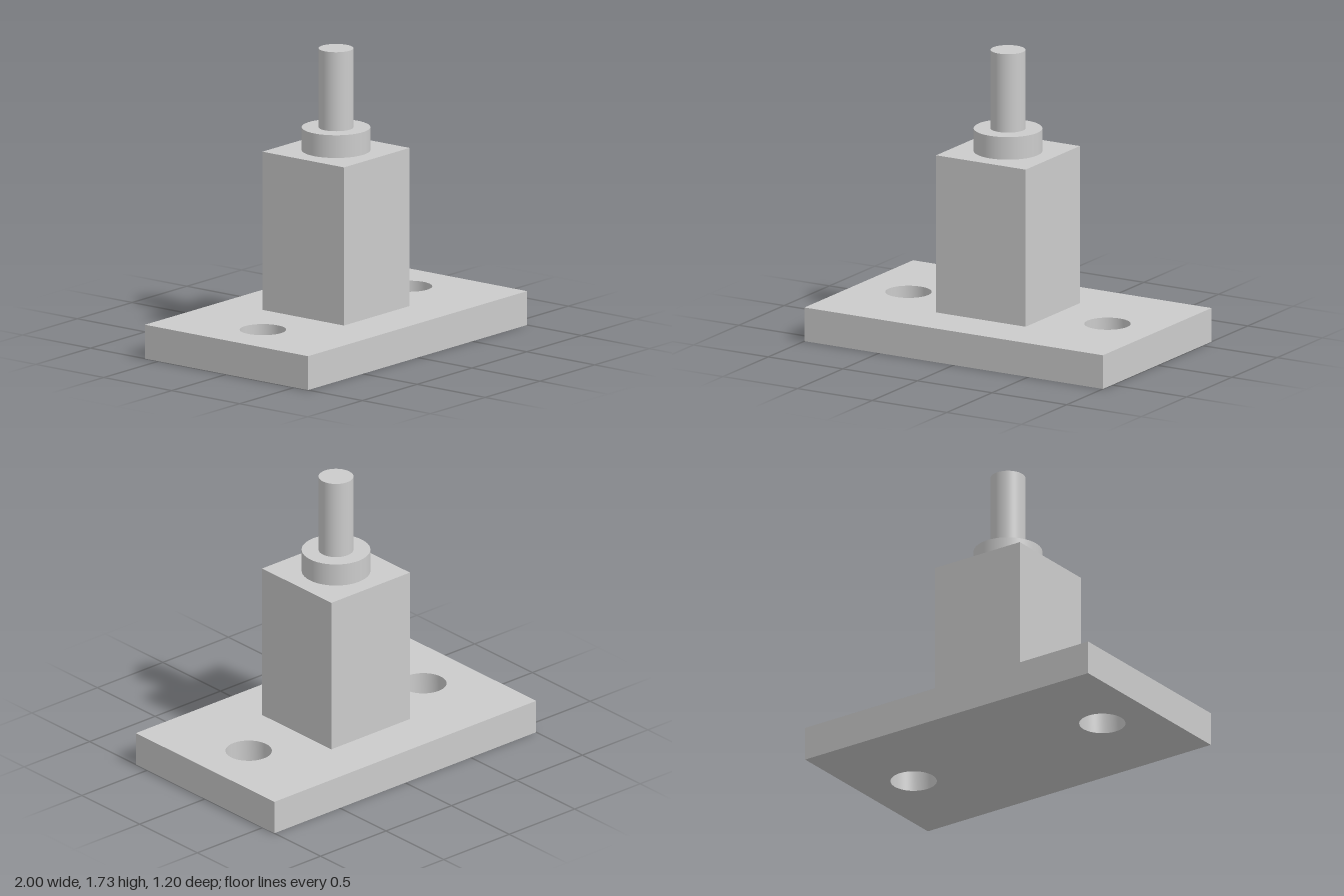
import * as THREE from 'three';
import { toCreasedNormals } from 'three/addons/utils/BufferGeometryUtils.js';

const PLATE_TOP = 0.2, BLOCK_TOP = 1.133, COLLAR_TOP = 1.267, ROD_TOP = 1.733;

export function createModel() {
  const model = new THREE.Group();
  const material = new THREE.MeshStandardMaterial({ color: 0xcccccc });

  // Adds a part whose geometry is centred on its own height
  const addPart = (name, geometry, bottom, top) => {
    const mesh = new THREE.Mesh(geometry, material);
    mesh.name = name;
    mesh.position.y = (bottom + top) / 2;
    model.add(mesh);
  };
  const cylinder = (radius, bottom, top) =>
    new THREE.CylinderGeometry(radius, radius, top - bottom, 64);

  // Base plate with two through holes for bolts
  const outline = new THREE.Shape([
    new THREE.Vector2(-1, -0.6), new THREE.Vector2(1, -0.6),
    new THREE.Vector2(1, 0.6), new THREE.Vector2(-1, 0.6),
  ]);
  for (const side of [-1, 1]) {
    outline.holes.push(new THREE.Path().absarc(side * 0.667, 0, 0.133, 0, Math.PI * 2, true));
  }
  const plate = new THREE.ExtrudeGeometry(outline, { depth: PLATE_TOP, bevelEnabled: false, curveSegments: 32 });
  plate.translate(0, 0, -PLATE_TOP / 2).rotateX(-Math.PI / 2);
  addPart('basePlate', toCreasedNormals(plate, Math.PI / 6), 0, PLATE_TOP);

  // Square column, collar and rod stacked on the plate
  addPart('column', new THREE.BoxGeometry(0.6, BLOCK_TOP - PLATE_TOP, 0.6), PLATE_TOP, BLOCK_TOP);
  addPart('collar', cylinder(0.197, BLOCK_TOP, COLLAR_TOP), BLOCK_TOP, COLLAR_TOP);
  addPart('rod', cylinder(0.1, COLLAR_TOP, ROD_TOP), COLLAR_TOP, ROD_TOP);

  return model;
}
